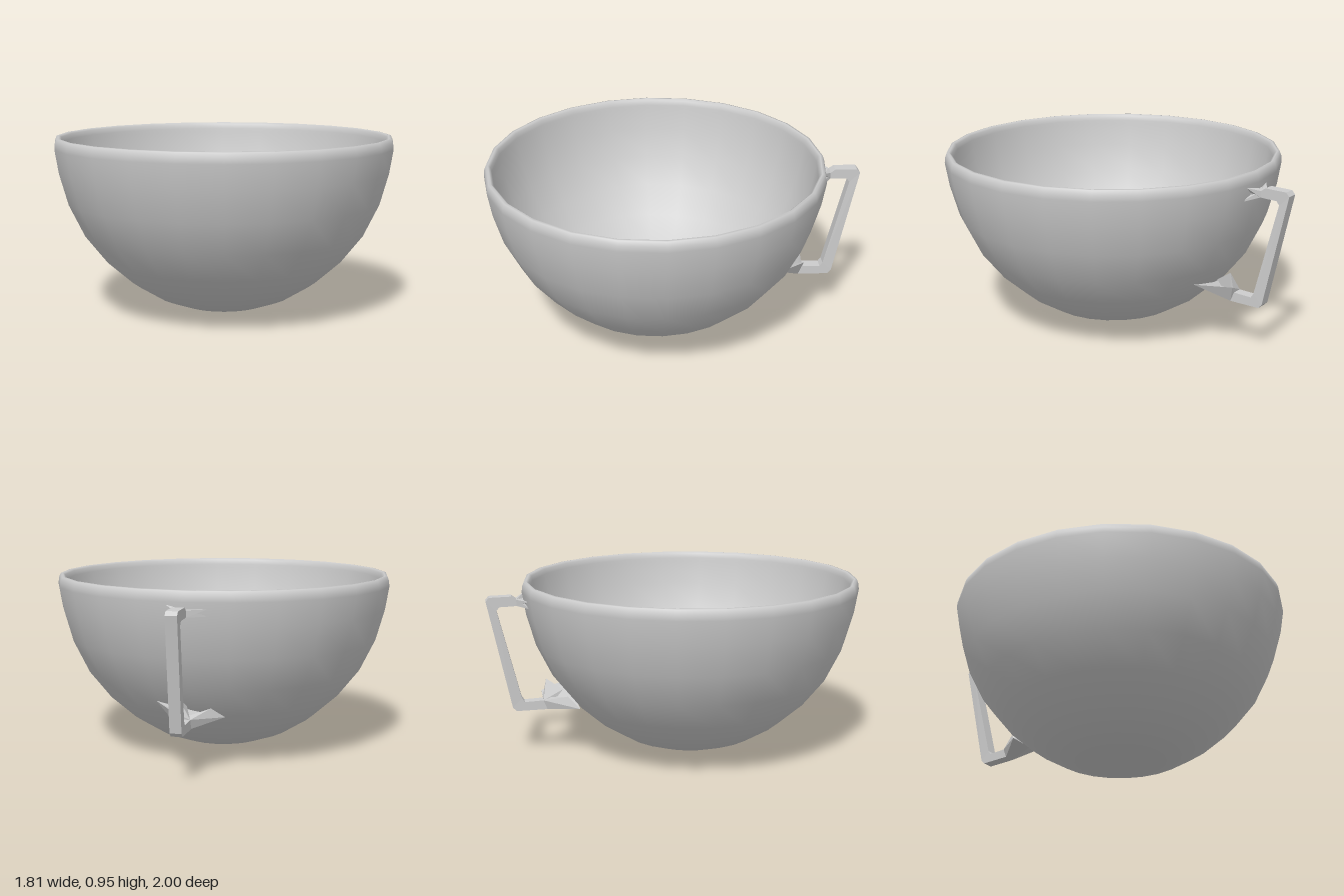
import * as THREE from 'three';
import { ConvexGeometry } from 'three/addons/geometries/ConvexGeometry.js';

const V = (x, y, z) => new THREE.Vector3(x, y, z);

export function createModel() {
  const group = new THREE.Group();
  const grey = new THREE.MeshStandardMaterial({ color: 0xcccccc });
  grey.name = 'grey';

  const add = (parent, name, geometry) => {
    const mesh = new THREE.Mesh(geometry, grey);
    mesh.name = name;
    parent.add(mesh);
    return mesh;
  };

  // Thin-walled bowl: up the outside, over the rounded rim, down the inside
  const outer = [
    [0, 0], [0.22, 0.031], [0.358, 0.08], [0.503, 0.168], [0.637, 0.285],
    [0.753, 0.43], [0.837, 0.6], [0.884, 0.765], [0.905, 0.89],
  ];
  const rim = [[0.902, 0.92], [0.893, 0.944], [0.88, 0.946], [0.868, 0.936], [0.862, 0.91]];
  const inner = outer.slice().reverse().map(([r, y]) => [r * 0.951, 0.041 + y * 0.955]);
  const profile = [...outer, ...rim, ...inner].map(([r, y]) => new THREE.Vector2(r, y));
  const segments = 24;
  const bowl = new THREE.LatheGeometry(profile, segments);
  // Smooth shading across both poles
  for (let i = 0; i <= segments; i++) {
    const first = i * profile.length;
    bowl.attributes.normal.setXYZ(first, 0, -1, 0);
    bowl.attributes.normal.setXYZ(first + profile.length - 1, 0, 1, 0);
  }
  add(group, 'bowl', bowl).position.z = 0.096;

  // Handle cross-sections: outer z, y, inner z, y, middle x
  const handle = new THREE.Group();
  handle.name = 'handle';
  group.add(handle);
  const sections = [
    [-0.84, 0.855, -0.84, 0.822, 0],
    [-0.865, 0.873, -0.865, 0.82, 0],
    [-0.982, 0.87, -0.93, 0.818, 0],
    [-1, 0.85, -0.945, 0.798, 0],
    [-0.875, 0.262, -0.825, 0.312, 0.015],
    [-0.855, 0.242, -0.81, 0.29, 0.015],
    [-0.69, 0.245, -0.71, 0.295, 0.015],
  ].map(([oz, oy, iz, iy, x]) => [-0.03, 0.03].flatMap((w) => [V(x + w, oy, oz), V(x + w, iy, iz)]));
  for (let i = 1; i < sections.length; i++) {
    add(handle, 'handleBar', new ConvexGeometry([...sections[i - 1], ...sections[i]]));
  }

  // Pointed roots that spread from each end of the handle onto the bowl
  const addRoots = (name, base, tips) => {
    for (const tip of tips) add(handle, name, new ConvexGeometry([...base, ...tip]));
  };
  addRoots('upperRoot', sections[0], [
    [V(-0.06, 0.85, -0.79), V(0.06, 0.85, -0.79), V(-0.05, 0.82, -0.78), V(0.05, 0.82, -0.78)],
    [V(-0.13, 0.86, -0.78), V(-0.05, 0.84, -0.785)],
    [V(-0.13, 0.82, -0.77), V(-0.05, 0.83, -0.78)],
    [V(0.09, 0.877, -0.79), V(0.05, 0.84, -0.785)],
    [V(0.11, 0.8, -0.765), V(0.05, 0.83, -0.78)],
  ]);
  addRoots('lowerRoot', sections[6], [
    [V(-0.15, 0.275, -0.525), V(0, 0.27, -0.53), V(0.2, 0.352, -0.565)],
    [V(-0.15, 0.275, -0.525), V(-0.09, 0.33, -0.585)],
    [V(0.05, 0.4, -0.69), V(0.03, 0.34, -0.6)],
    [V(0.2, 0.352, -0.565), V(0.07, 0.33, -0.715)],
  ]);

  return group;
}
